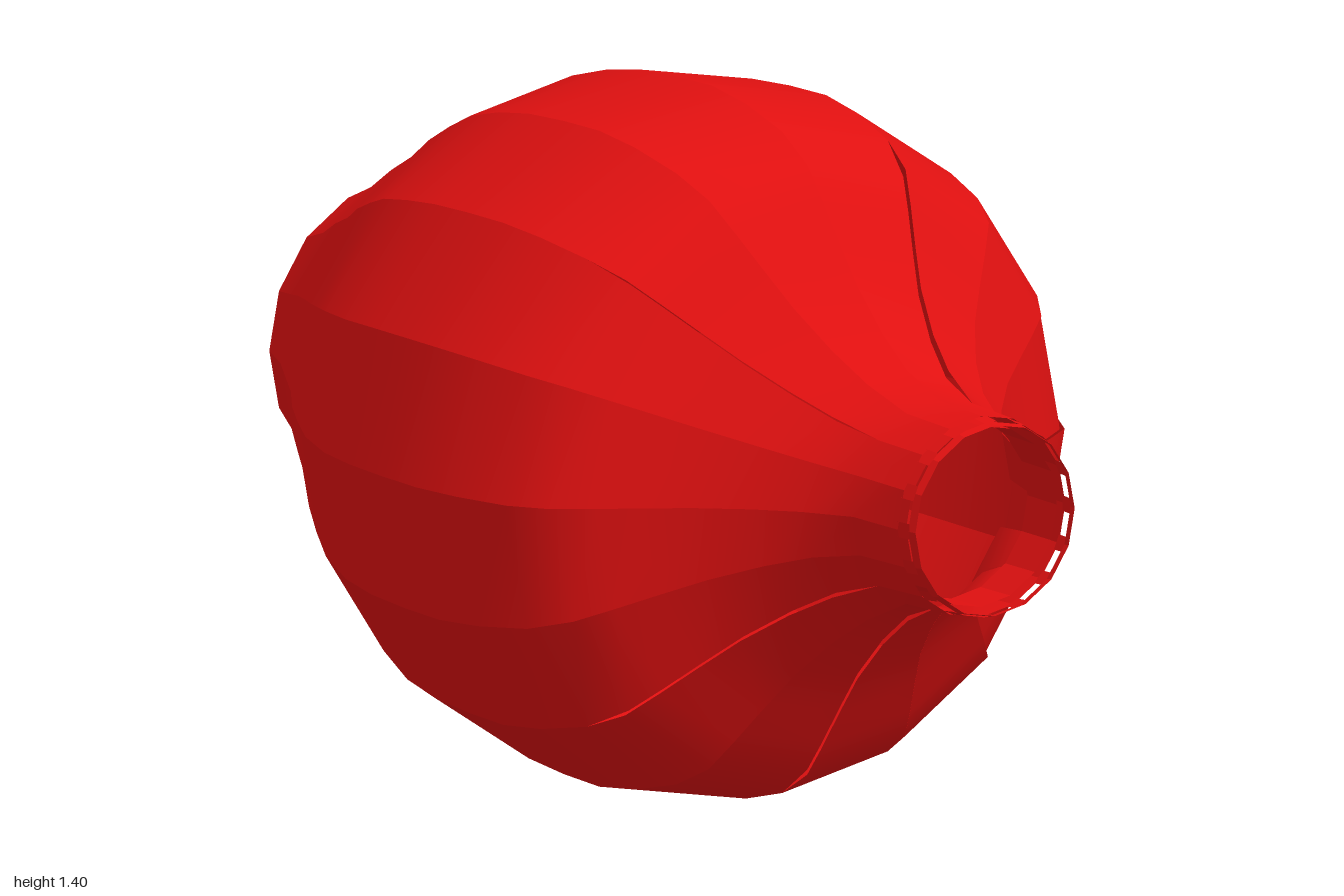
import * as THREE from 'three';

const SIDES = 16;

// Body profile along the x axis: [x, radius]
const BODY = [
  [-1, 0.3], [-0.9, 0.345], [-0.8, 0.405], [-0.7, 0.46], [-0.6, 0.525], [-0.5, 0.58], [-0.4, 0.63],
  [-0.28, 0.668], [-0.17, 0.688], [-0.05, 0.697], [0.07, 0.7], [0.18, 0.685], [0.3, 0.652], [0.38, 0.6],
  [0.43, 0.535], [0.48, 0.465], [0.54, 0.385], [0.62, 0.305], [0.7, 0.245], [0.8, 0.203], [0.94, 0.198],
];
const LINING = [[0.84, 0.18], [0.94, 0.178]];
const RIM = [[0.966, 0.192], [0.985, 0.188]];
const POST = [[0.935, 0.196], [0.97, 0.192]];

// The base and the neck sit slightly off the body's axis
function point(x, r, angle) {
  const off = Math.min(1, Math.max(0, (Math.abs(x) - 0.3) / 0.5));
  const cy = 0.7 + off * (x < 0 ? 0.018 : 0.009);
  return [x, cy + r * Math.cos(angle), -0.015 * off + r * Math.sin(angle)];
}

// One lengthwise panel between two angles, smooth along x only
function panel(profile, a0, a1, lift = 0) {
  const pos = [], index = [];
  profile.forEach(([x, r], i) => {
    const bump = x > 0.3 && x < 0.75 ? lift : 0;
    pos.push(...point(x, r + bump, a0), ...point(x, r + bump, a1));
    if (i > 0) {
      const k = (i - 1) * 2;
      index.push(k, k + 1, k + 2, k + 1, k + 3, k + 2);
    }
  });
  const g = new THREE.BufferGeometry();
  g.setAttribute('position', new THREE.Float32BufferAttribute(pos, 3));
  g.setIndex(index);
  g.computeVertexNormals();
  return g;
}

export function createModel() {
  const model = new THREE.Group();
  model.name = 'lyingVase';
  const red = new THREE.MeshStandardMaterial({ color: 0xe01010, side: THREE.DoubleSide });
  red.name = 'red';

  const groups = {};
  const add = (groupName, geometry, name) => {
    if (!groups[groupName]) {
      groups[groupName] = new THREE.Group();
      groups[groupName].name = groupName;
      model.add(groups[groupName]);
    }
    const mesh = new THREE.Mesh(geometry, red);
    mesh.name = name;
    groups[groupName].add(mesh);
  };

  const step = (Math.PI * 2) / SIDES;
  for (let i = 0; i < SIDES; i++) {
    const a = i * step;
    // Slightly uneven shoulders between neighbouring panels
    const lift = 0.008 * Math.sin(i * 2.4);
    add('body', panel(BODY, a, a + step, lift), 'bodyPanel');
    add('neckLining', panel(LINING, a, a + step), 'liningPanel');
    add('rim', panel(RIM, a, a + step), 'rimPanel');
    // Posts leave small openings under the rim
    add('rim', panel(POST, a - step * 0.2, a + step * 0.2), 'rimPost');
  }

  // Closed base
  const disc = new THREE.CircleGeometry(0.3, SIDES);
  disc.rotateZ(Math.PI / 2);
  disc.rotateY(-Math.PI / 2);
  const base = new THREE.Mesh(disc, red);
  base.position.set(-0.995, 0.718, -0.015);
  base.name = 'base';
  model.add(base);

  return model;
}
